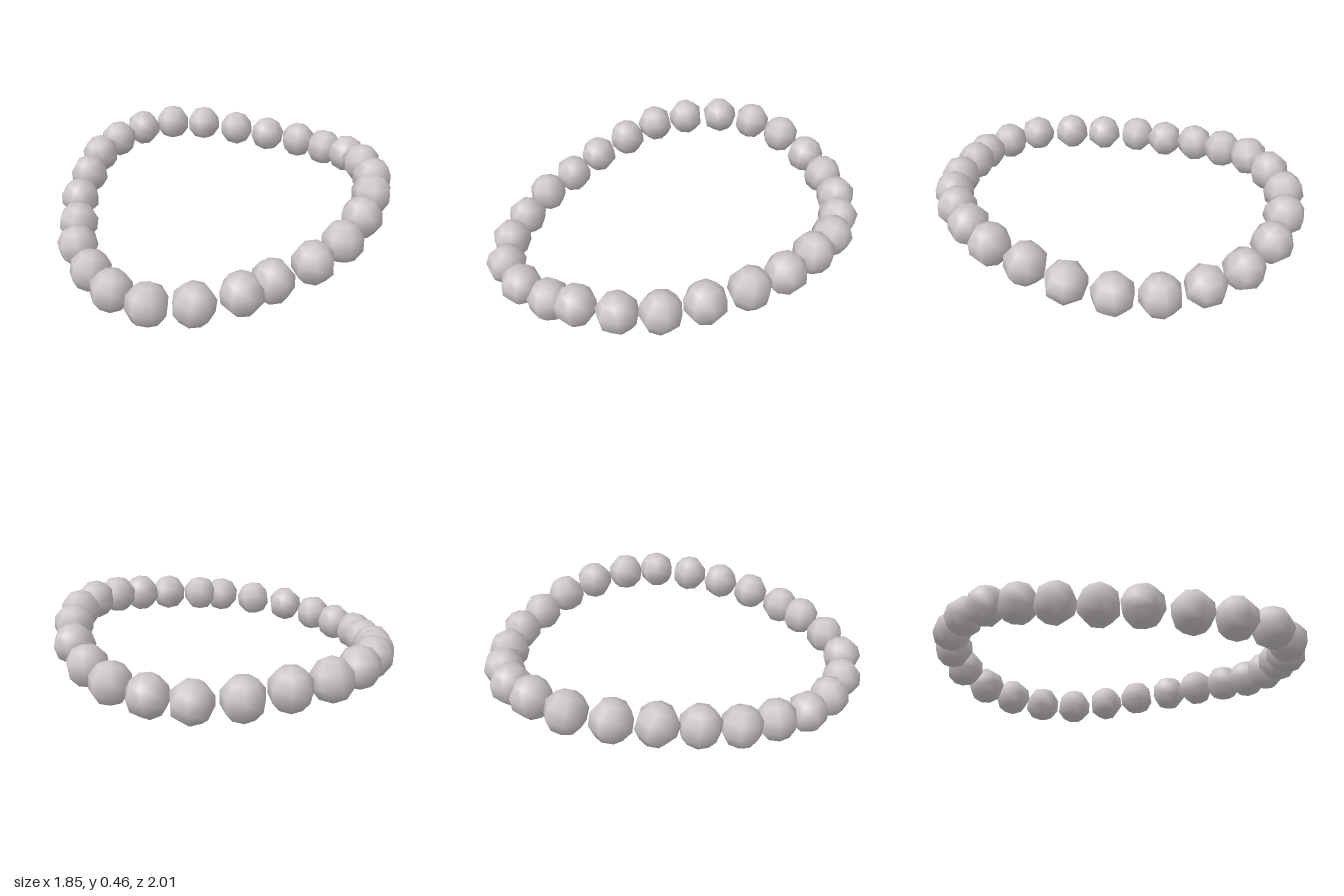
import * as THREE from 'three';

// Bead centres around the loop: x, y, z
const BEADS = [
  [-0.12, 0.26, -0.91], [0.10, 0.265, -0.90], [0.30, 0.28, -0.83], [0.48, 0.315, -0.72],
  [0.62, 0.345, -0.57], [0.74, 0.355, -0.39], [0.80, 0.35, -0.20], [0.82, 0.32, 0.01],
  [0.80, 0.28, 0.21], [0.73, 0.245, 0.40], [0.61, 0.21, 0.58], [0.52, 0.185, 0.70],
  [0.35, 0.15, 0.83], [0.15, 0.125, 0.90], [-0.07, 0.11, 0.87], [-0.26, 0.11, 0.78],
  [-0.44, 0.13, 0.65], [-0.56, 0.16, 0.49], [-0.68, 0.20, 0.32], [-0.76, 0.25, 0.13],
  [-0.82, 0.295, -0.06], [-0.83, 0.315, -0.26], [-0.79, 0.325, -0.47], [-0.68, 0.325, -0.65],
  [-0.53, 0.30, -0.79], [-0.33, 0.27, -0.88],
];

// Small seeded generator for the natural turn of each bead
function seeded(seed) {
  return () => {
    seed = (seed * 16807) % 2147483647;
    return seed / 2147483647;
  };
}

export function createModel() {
  const group = new THREE.Group();
  group.name = 'beadLoop';
  const pearl = new THREE.MeshStandardMaterial({ color: 0xcdc7c7 });
  pearl.name = 'pearlGrey';

  // One smooth, seven-sided bead shared by the whole loop
  const bead = new THREE.SphereGeometry(0.106, 7, 5);
  const random = seeded(4711);

  BEADS.forEach(([x, y, z], i) => {
    const mesh = new THREE.Mesh(bead, pearl);
    mesh.name = `bead${i + 1}`;
    mesh.position.set(x, y, z);
    // Free turn about the vertical, slight tilt
    mesh.rotation.set((random() - 0.5) * 0.5, random() * Math.PI * 2, (random() - 0.5) * 0.5);
    group.add(mesh);
  });
  return group;
}
